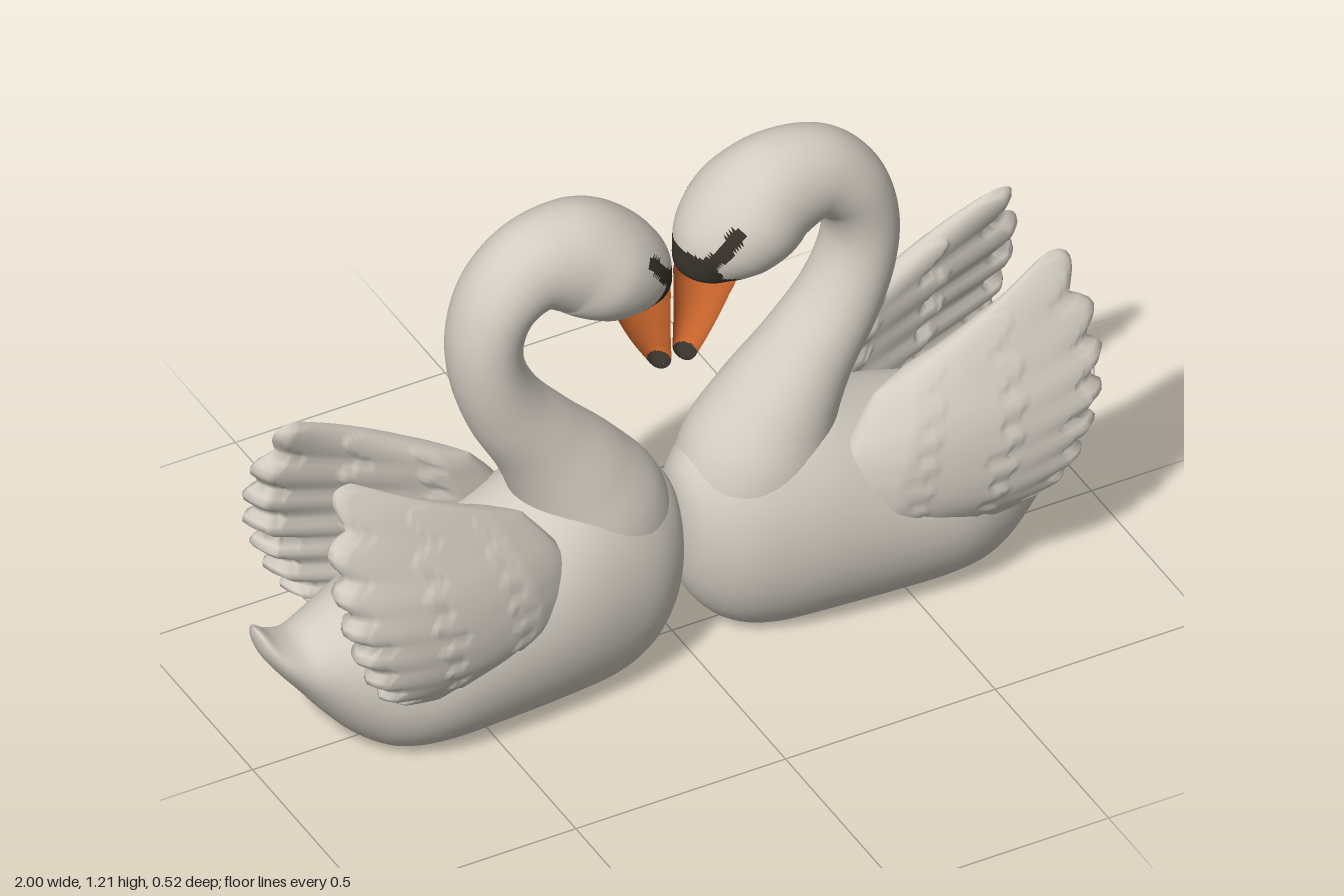
import * as THREE from 'three';
import { mergeVertices } from 'three/addons/utils/BufferGeometryUtils.js';

const mat = (name, color) => {
  const m = new THREE.MeshStandardMaterial({ color });
  m.name = name;
  return m;
};

// Smooth curve through rows of numbers, t from 0 to 1
function spline(rows) {
  const n = rows.length - 1;
  return (t) => {
    const i = Math.min(n - 1, Math.floor(t * n)), f = t * n - i;
    const row = (k) => rows[Math.max(0, Math.min(n, k))];
    return rows[0].map((_, c) => {
      const p1 = row(i)[c], p2 = row(i + 1)[c];
      const m1 = (p2 - row(i - 1)[c]) / 2, m2 = (row(i + 2)[c] - p1) / 2;
      const f2 = f * f, f3 = f2 * f;
      return p1 * (2 * f3 - 3 * f2 + 1) + m1 * (f3 - 2 * f2 + f) + p2 * (3 * f2 - 2 * f3) + m2 * (f3 - f2);
    });
  };
}

// Closed smooth skin: fn(u, angle) gives [x, y, z]; faces are turned outward
function skin(fn, nu, na) {
  const pos = [], idx = [];
  for (let i = 0; i <= nu; i++) {
    for (let j = 0; j < na; j++) pos.push(...fn(i / nu, (j / na) * Math.PI * 2));
  }
  for (let i = 0; i < nu; i++) {
    for (let j = 0; j < na; j++) {
      const k = (j + 1) % na, a = i * na + j, b = i * na + k, c = a + na, d = b + na;
      idx.push(a, b, c, b, d, c);
    }
  }
  const v = (i) => new THREE.Vector3().fromArray(pos, i * 3);
  let volume = 0;
  for (let i = 0; i < idx.length; i += 3) volume += v(idx[i]).dot(v(idx[i + 1]).cross(v(idx[i + 2])));
  if (volume < 0) idx.reverse();
  let g = new THREE.BufferGeometry();
  g.setAttribute('position', new THREE.Float32BufferAttribute(pos, 3));
  g.setIndex(idx);
  g = mergeVertices(g, 1e-5);
  g.computeVertexNormals();
  return g;
}

// Oval tube in the xy plane; rows are x, y, radius in plane, radius across
function limb(rows, nu, na) {
  const s = spline(rows);
  return skin((u, a) => {
    const [x, y, r, w] = s(u);
    const p = s(Math.max(0, u - 0.01)), q = s(Math.min(1, u + 0.01));
    const dx = q[0] - p[0], dy = q[1] - p[1], l = Math.hypot(dx, dy) || 1;
    const c = Math.cos(a) * Math.max(r, 0);
    return [x - (dy / l) * c, y + (dx / l) * c, Math.sin(a) * Math.max(w, 0)];
  }, nu, na);
}

// Sort faces into two material groups by a rule on the face centre
function splitFaces(g, isSecond) {
  const p = g.attributes.position, src = g.index.array, first = [], second = [];
  for (let i = 0; i < src.length; i += 3) {
    const t = [src[i], src[i + 1], src[i + 2]];
    const x = t.reduce((s, k) => s + p.getX(k), 0) / 3;
    const y = t.reduce((s, k) => s + p.getY(k), 0) / 3;
    (isSecond(x, y) ? second : first).push(...t);
  }
  g.setIndex([...first, ...second]);
  g.addGroup(0, first.length, 0);
  g.addGroup(first.length, second.length, 1);
  return g;
}

// Distance from (x, y) to the segment a-b
function segmentDistance(x, y, [ax, ay], [bx, by]) {
  const dx = bx - ax, dy = by - ay;
  const t = THREE.MathUtils.clamp(((x - ax) * dx + (y - ay) * dy) / (dx * dx + dy * dy), 0, 1);
  return Math.hypot(x - ax - dx * t, y - ay - dy * t);
}

function bodyGeometry() {
  // x, bottom, top, half width
  const s = spline([
    [0.001, 0.29, 0.291, 0.001], [0.004, 0.21, 0.38, 0.045], [0.02, 0.13, 0.43, 0.09],
    [0.055, 0.065, 0.47, 0.13], [0.11, 0.012, 0.51, 0.165], [0.19, -0.02, 0.545, 0.19],
    [0.3, -0.025, 0.54, 0.21], [0.45, -0.025, 0.48, 0.218], [0.6, -0.025, 0.43, 0.215],
    [0.7, -0.012, 0.4, 0.188], [0.78, 0.04, 0.375, 0.15], [0.85, 0.118, 0.345, 0.113],
    [0.9, 0.185, 0.325, 0.09], [0.95, 0.25, 0.34, 0.07], [0.985, 0.305, 0.37, 0.042],
    [1.0, 0.355, 0.378, 0.001],
  ]);
  return skin((u, a) => {
    const [x, lo, hi, w] = s(u);
    const y = (lo + hi) / 2 + (Math.sin(a) * (hi - lo)) / 2;
    return [Math.min(x, 1), Math.max(0, y), Math.cos(a) * w];
  }, 70, 48);
}

// Feathered wing: shoulder edge to scalloped trailing edge, side is +1 or -1 in z
function wingGeometry(side) {
  const lead = spline([[0.38, 0.222], [0.318, 0.3], [0.335, 0.43], [0.42, 0.55]]);
  const trail = spline([[0.75, 0.215], [0.82, 0.275], [0.875, 0.38], [0.91, 0.5], [0.915, 0.64], [0.865, 0.8]]);
  const depth = spline([[0.185], [0.222], [0.23], [0.22], [0.19], [0.155], [0.115]]);
  const feathers = 8;
  return skin((u, a) => {
    const v = 0.5 - 0.5 * Math.cos(a), lobe = Math.abs(Math.sin(feathers * Math.PI * v));
    const L = lead(v), T = trail(v), reach = u * (1 - 0.075 * (1 - lobe) * u);
    const x = L[0] + (T[0] - L[0]) * reach;
    const y = L[1] + (T[1] - L[1]) * reach - 0.04 * Math.sin(Math.PI * u) * (1 - v);
    // overlapping feather rows, fading out on the shoulder
    const row = u * 3 + 0.4 * (1 - lobe);
    const relief = (0.006 * (row % 1) + 0.009 * lobe * u) * Math.min(1, u * 2.5);
    const taper = Math.sqrt(Math.min(1, u * 5)) * Math.sqrt(Math.min(1, (1 - u) * 20));
    const half = (0.045 * Math.pow(1 - u, 0.6) + 0.01 + relief) * taper;
    const mid = depth(THREE.MathUtils.clamp((y - 0.18) / 0.62, 0, 1))[0] - 0.09 * (1 - u) ** 2;
    // fuller towards the back of the bird
    const s = Math.sin(a);
    return [x, y, side * (mid + half * s * (s < 0 ? 1.8 : 0.9))];
  }, 72, 112);
}

function createSwan(mats) {
  const { white, orange, black } = mats;
  const swan = new THREE.Group();
  const add = (name, geometry, material) => {
    const m = new THREE.Mesh(geometry, material);
    m.name = name;
    swan.add(m);
  };

  add('body', bodyGeometry(), white);

  // Neck and head in one sweep, with the dark mask and eye streak
  const neck = limb([
    [0.17, 0.24, 0.12, 0.11], [0.18, 0.33, 0.165, 0.15], [0.205, 0.42, 0.168, 0.155],
    [0.25, 0.52, 0.135, 0.135], [0.32, 0.63, 0.105, 0.11], [0.395, 0.74, 0.09, 0.098],
    [0.44, 0.85, 0.081, 0.095], [0.447, 0.95, 0.08, 0.095], [0.413, 1.04, 0.087, 0.098],
    [0.34, 1.093, 0.106, 0.1], [0.25, 1.09, 0.125, 0.115], [0.178, 1.05, 0.125, 0.134],
    [0.12, 1.0, 0.112, 0.118], [0.088, 0.957, 0.086, 0.085], [0.08, 0.932, 0.055, 0.055],
    [0.078, 0.92, 0.001, 0.001],
  ], 180, 60);
  const isMask = (x, y) =>
    segmentDistance(x, y, [0.1, 1.08], [0.045, 1.0]) < 0.014 ||
    segmentDistance(x, y, [0.025, 0.985], [0.045, 0.96]) < 0.032 ||
    segmentDistance(x, y, [0.03, 0.95], [0.1, 0.935]) < 0.02;
  add('neckAndHead', splitFaces(neck, isMask), [white, black]);

  // Beak with dark tip
  const beak = limb([
    [0.088, 0.955, 0.045, 0.05], [0.08, 0.928, 0.066, 0.068], [0.071, 0.89, 0.061, 0.061],
    [0.056, 0.825, 0.047, 0.048], [0.037, 0.76, 0.03, 0.037], [0.026, 0.728, 0.02, 0.027],
    [0.021, 0.716, 0.001, 0.001],
  ], 50, 32);
  add('beak', splitFaces(beak, (x, y) => y < 0.733), [orange, black]);

  add('wingA', wingGeometry(1), white);
  add('wingB', wingGeometry(-1), white);
  return swan;
}

export function createModel() {
  const mats = {
    white: mat('warm white plumage', 0xd2ccc1),
    orange: mat('beak orange', 0xc9652c),
    black: mat('mask black', 0x38322b),
  };
  const model = new THREE.Group();
  model.name = 'swanPair';
  // Two swans face to face
  const leftSwan = createSwan(mats);
  leftSwan.name = 'leftSwan';
  const rightSwan = leftSwan.clone();
  rightSwan.name = 'rightSwan';
  rightSwan.rotation.y = Math.PI;
  model.add(leftSwan, rightSwan);
  return model;
}
